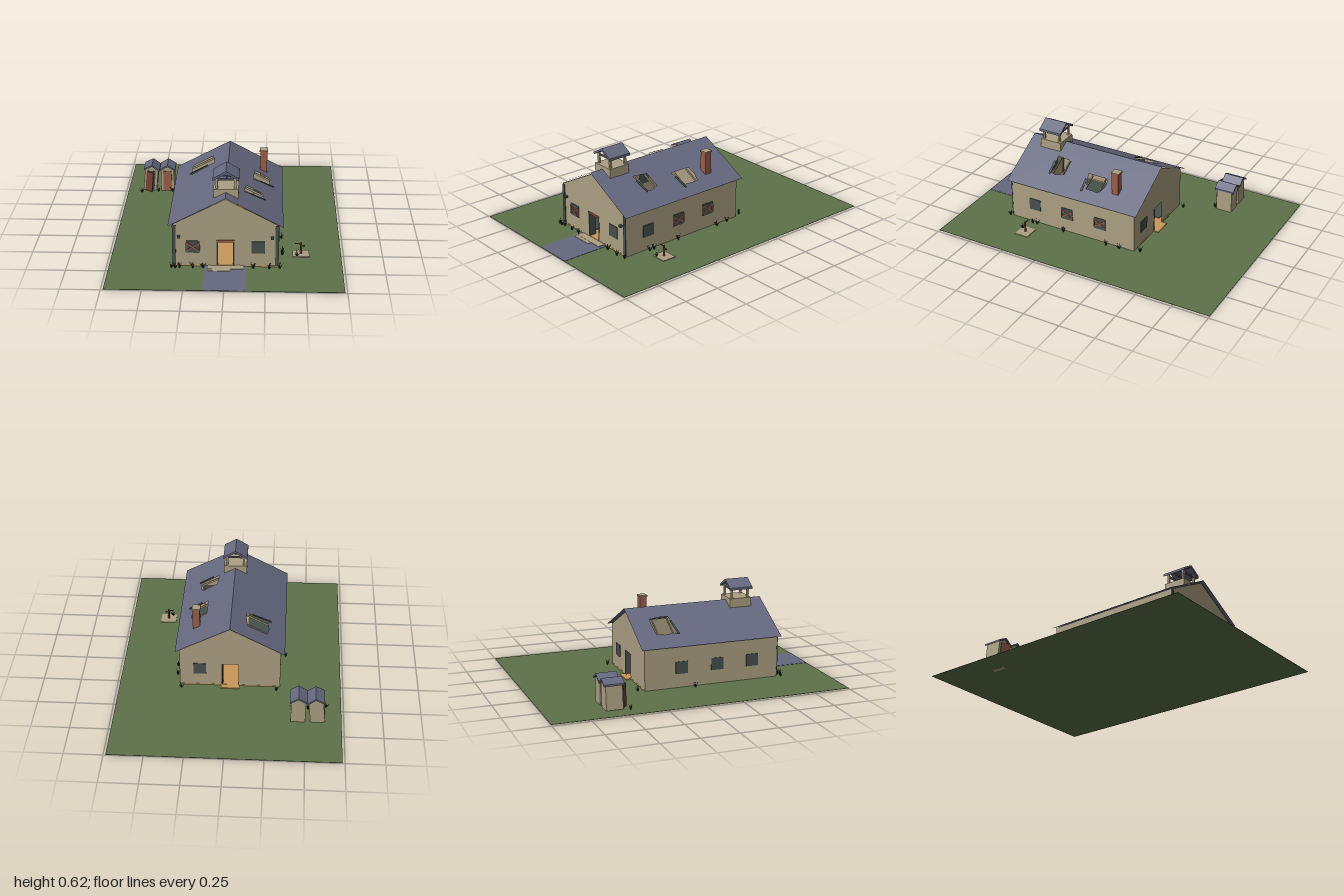
import * as THREE from 'three';

const mat = (name, color, side = THREE.FrontSide) => {
  const m = new THREE.MeshStandardMaterial({ color, side });
  m.name = name;
  return m;
};

export function createModel() {
  const D = THREE.DoubleSide;
  const grassGreen = mat('grass green', 0x5e714a);
  const plaster = mat('plaster beige', 0xaca083, D);
  const slate = mat('slate', 0x66687f, D);
  const brick = mat('brick red', 0x985e49);
  const wood = mat('floor wood', 0xc8985a);
  const dark = mat('dark green grey', 0x45504d, D);
  const brown = mat('red brown', 0x70402f);
  const weed = mat('weed green', 0x263524, D);

  const model = new THREE.Group();
  const add = (name, geo, m, x = 0, y = 0, z = 0, parent = model) => {
    const mesh = new THREE.Mesh(geo, m);
    mesh.name = name;
    mesh.position.set(x, y, z);
    parent.add(mesh);
    return mesh;
  };
  // box given by its limits
  const box = (name, m, x0, x1, y0, y1, z0, z1, parent = model) =>
    add(name, new THREE.BoxGeometry(x1 - x0, y1 - y0, z1 - z0), m,
      (x0 + x1) / 2, (y0 + y1) / 2, (z0 + z1) / 2, parent);
  const group = (name, x = 0, y = 0, z = 0, parent = model) => {
    const g = new THREE.Group();
    g.name = name;
    g.position.set(x, y, z);
    parent.add(g);
    return g;
  };
  const poly = (pts, K = THREE.Shape) => new K(pts.map(p => new THREE.Vector2(...p)));

  // ground, path and steps
  box('ground', grassGreen, -0.735, 0.735, 0, 0.002, -1, 1);
  box('path', slate, -0.13, 0.13, 0.002, 0.004, 0.67, 0.999);
  box('upperStep', plaster, -0.11, 0.11, 0.002, 0.008, 0.672, 0.72);
  box('lowerStep', plaster, -0.11, 0.03, 0.002, 0.007, 0.72, 0.745);

  // floor with dark areas on both sides of the aisle
  box('floor', wood, -0.332, 0.332, 0.002, 0.01, -0.266, 0.671);
  box('backStep', wood, -0.065, 0.06, 0.002, 0.009, -0.302, -0.266);
  for (const s of [-1, 1])
    add('sideFlooring', new THREE.BoxGeometry(0.225, 0.004, 0.86), dark, s * 0.205, 0.012, 0.2);

  // walls, the gables notched for the doorways
  const gable = new THREE.ShapeGeometry(poly([[-0.333, 0.002], [-0.056, 0.002], [-0.056, 0.175],
    [0.056, 0.175], [0.056, 0.002], [0.333, 0.002], [0.333, 0.288], [0, 0.463], [-0.333, 0.288]]));
  add('frontWall', gable, plaster, 0, 0, 0.67);
  add('backWall', gable, plaster, 0, 0, -0.265).scale.z = -1;
  for (const s of [-1, 1]) {
    const w = add('sideWall', new THREE.PlaneGeometry(0.935, 0.288), plaster, s * 0.333, 0.146, 0.2025);
    w.rotation.y = s * Math.PI / 2;
    box('cornerBoard', dark, s * 0.323 - 0.011, s * 0.323 + 0.011, 0.012, 0.285, 0.669, 0.675);
    add('brokenLamp', new THREE.BoxGeometry(0.018, 0.014, 0.02), dark, s * 0.292, 0.207, 0.68);
    box('frontDoorLeaf', dark, s * 0.052 - 0.004, s * 0.052 + 0.004, 0.01, 0.172, 0.62, 0.672);
  }
  box('doorLintel', brick, -0.056, 0.056, 0.172, 0.184, 0.665, 0.677);
  box('backDoorLeaf', dark, 0.046, 0.054, 0.01, 0.172, -0.267, -0.21);

  // windows, some boarded up with crossed planks
  const addWindow = (x, z, turn, boarded) => {
    const g = group('window', x, 0.136, z);
    g.rotation.y = turn;
    add('pane', new THREE.BoxGeometry(0.085, 0.082, 0.006), dark, 0, 0, 0, g);
    if (!boarded) return;
    for (const s of [-1, 1]) {
      const b = add('crossBoard', new THREE.BoxGeometry(0.098, 0.009, 0.006), brick, 0, 0, 0.006, g);
      b.rotation.z = s * 0.6;
    }
    for (const s of [-1, 1])
      add('edgeBoard', new THREE.BoxGeometry(0.006, 0.06, 0.006), brick, s * 0.041, 0, 0.004, g);
  };
  addWindow(-0.205, 0.671, 0, true);
  addWindow(0.205, 0.671, 0, false);
  addWindow(0.2, -0.266, Math.PI, false);
  [0.49, 0.24, -0.01].forEach((z, i) => {
    addWindow(0.334, z, Math.PI / 2, i > 0);
    addWindow(-0.334, z, -Math.PI / 2, false);
  });

  // roof planes with ragged holes, drawn flat in x and z, then lifted to the pitch
  const pitch = 0.533, roofY = x => 0.475 - pitch * Math.abs(x);
  const holes = {
    '-1': [[[-0.24, -0.15], [-0.11, -0.155], [-0.1, -0.08], [-0.1, -0.02], [-0.2, -0.01],
      [-0.25, 0], [-0.24, -0.03], [-0.25, -0.09]]],
    '1': [[[0.17, 0.02], [0.22, 0.01], [0.275, 0.03], [0.27, 0.13], [0.21, 0.15], [0.17, 0.165]],
      [[0.12, 0.33], [0.22, 0.325], [0.235, 0.38], [0.23, 0.42], [0.16, 0.425], [0.11, 0.435], [0.115, 0.39]]],
  };
  for (const s of [-1, 1]) {
    const shape = poly([[0, -0.29], [s * 0.36, -0.29], [s * 0.36, 0.69], [0, 0.69]]);
    shape.holes = holes[s].map(h => poly(h, THREE.Path));
    const geo = new THREE.ShapeGeometry(shape), p = geo.attributes.position;
    for (let i = 0; i < p.count; i++) p.setXYZ(i, p.getX(i), roofY(p.getX(i)), p.getY(i));
    // the flip of y to z turns the faces over, so reverse them
    const idx = geo.index.array;
    for (let i = 0; i < idx.length; i += 3) [idx[i], idx[i + 1]] = [idx[i + 1], idx[i]];
    geo.computeVertexNormals();
    add('roofPlane', geo, slate);
  }
  // rafters bared by the holes and loose boards beside them
  for (const [x, len, zs] of [[-0.175, 0.15, [-0.135, -0.03]], [0.222, 0.11, [0.035, 0.135]], [0.172, 0.12, [0.34, 0.41]]]) {
    const tilt = -Math.sign(x) * Math.atan(pitch);
    for (const z of zs)
      add('rafter', new THREE.BoxGeometry(len * 1.13, 0.012, 0.007), plaster, x, roofY(x) - 0.01, z).rotation.z = tilt;
    add('looseBoard', new THREE.BoxGeometry(len * 0.9, 0.003, 0.014), dark, x * 1.15, roofY(x * 1.15) + 0.008, zs[1] + 0.02)
      .rotation.set(0, 0.12, tilt * 0.95);
  }

  // chimney
  box('chimney', brick, 0.208, 0.255, 0.31, 0.49, -0.105, -0.057);
  box('chimneyCap', brick, 0.204, 0.259, 0.488, 0.496, -0.109, -0.053);
  box('chimneyTop', plaster, 0.204, 0.259, 0.496, 0.499, -0.109, -0.053);

  // small pitched roof: a chevron extruded along z
  const pitchedRoof = (half, rise, thick, len) => {
    const geo = new THREE.ExtrudeGeometry(poly([[-half, 0], [0, rise], [half, 0], [half, thick],
      [0, rise + thick], [-half, thick]]), { depth: len, bevelEnabled: false });
    return geo.translate(0, 0, -len / 2);
  };

  // bell tower
  const tower = group('bellTower', 0, 0, 0.515);
  box('towerBase', plaster, -0.078, 0.078, 0.4, 0.495, -0.077, 0.077, tower);
  for (const x of [-0.058, 0.058]) for (const z of [-0.058, 0.058])
    box('towerPost', plaster, x - 0.007, x + 0.007, 0.495, 0.572, z - 0.007, z + 0.007, tower);
  add('towerRoof', pitchedRoof(0.082, 0.048, 0.016, 0.165), slate, 0, 0.553, 0, tower);
  for (const z of [-0.058, 0.058]) box('towerBeam', slate, -0.06, 0.06, 0.55, 0.56, z - 0.005, z + 0.005, tower);
  box('bellBeam', slate, -0.06, 0.06, 0.55, 0.558, -0.005, 0.005, tower);
  add('bellHook', new THREE.CylinderGeometry(0.003, 0.003, 0.014, 6), dark, 0, 0.545, 0, tower);

  // two outhouses, one leaning with its door ajar
  const outhouse = (x, lean, doorMat, doorTurn) => {
    const g = group('outhouse', x, 0.002, -0.565);
    g.rotation.z = lean;
    add('body', new THREE.ExtrudeGeometry(poly([[-0.047, 0], [0.047, 0], [0.047, 0.158],
      [0, 0.188], [-0.047, 0.158]]), { depth: 0.11, bevelEnabled: false }), plaster, 0, 0, -0.055, g);
    add('outhouseRoof', pitchedRoof(0.055, 0.034, 0.012, 0.135), slate, 0, 0.153, 0, g);
    box('doorway', dark, -0.03, 0.03, 0.005, 0.15, 0.053, 0.057, g);
    const hinge = group('doorHinge', -0.03, 0, 0.058, g);
    hinge.rotation.y = doorTurn;
    box('outhouseDoor', doorMat, 0, 0.06, 0.005, 0.15, 0, 0.006, hinge);
    return g;
  };
  outhouse(-0.455, 0, brick, 0);
  outhouse(-0.582, -0.09, brown, -0.6);

  // water pump on its slab
  const pump = group('waterPump', 0.478, 0.002, 0.482);
  box('pumpSlab', plaster, -0.053, 0.053, 0, 0.005, -0.048, 0.048, pump);
  add('pumpPost', new THREE.CylinderGeometry(0.006, 0.007, 0.075, 8), brown, 0, 0.042, 0, pump);
  box('pumpSpout', brown, 0, 0.024, 0.054, 0.062, -0.004, 0.004, pump);
  const handle = add('pumpHandle', new THREE.BoxGeometry(0.04, 0.005, 0.005), brown, -0.018, 0.073, 0, pump);
  handle.rotation.z = -0.1;

  // weeds: fans of leaning pointed blades
  const blade = new THREE.ConeGeometry(0.0035, 0.042, 3).translate(0, 0.021, 0);
  const spots = [[-0.34, 0.7], [-0.315, 0.705], [-0.287, 0.7], [-0.205, 0.7], [-0.14, 0.695], [0.175, 0.695],
    [0.275, 0.7], [0.34, 0.69], [0.358, 0.5], [0.358, 0.465], [0.355, 0.26], [0.36, -0.07], [0.355, -0.165],
    [0.32, -0.305], [-0.31, -0.305], [-0.365, 0.075], [-0.635, -0.465], [-0.42, -0.495], [-0.52, -0.49], [0.45, 0.52]];
  spots.forEach(([x, z], n) => {
    const tuft = group('weedTuft', x, 0.002, z);
    for (let i = 0; i < 7; i++) {
      const b = add('blade', blade, weed, 0, 0, 0, tuft);
      b.rotation.set(0, i * 0.9 + n, i ? 0.25 + 0.12 * (i % 4) : 0, 'YXZ');
      b.scale.y = 0.7 + 0.15 * ((i + n) % 4);
    }
  });

  return model;
}
